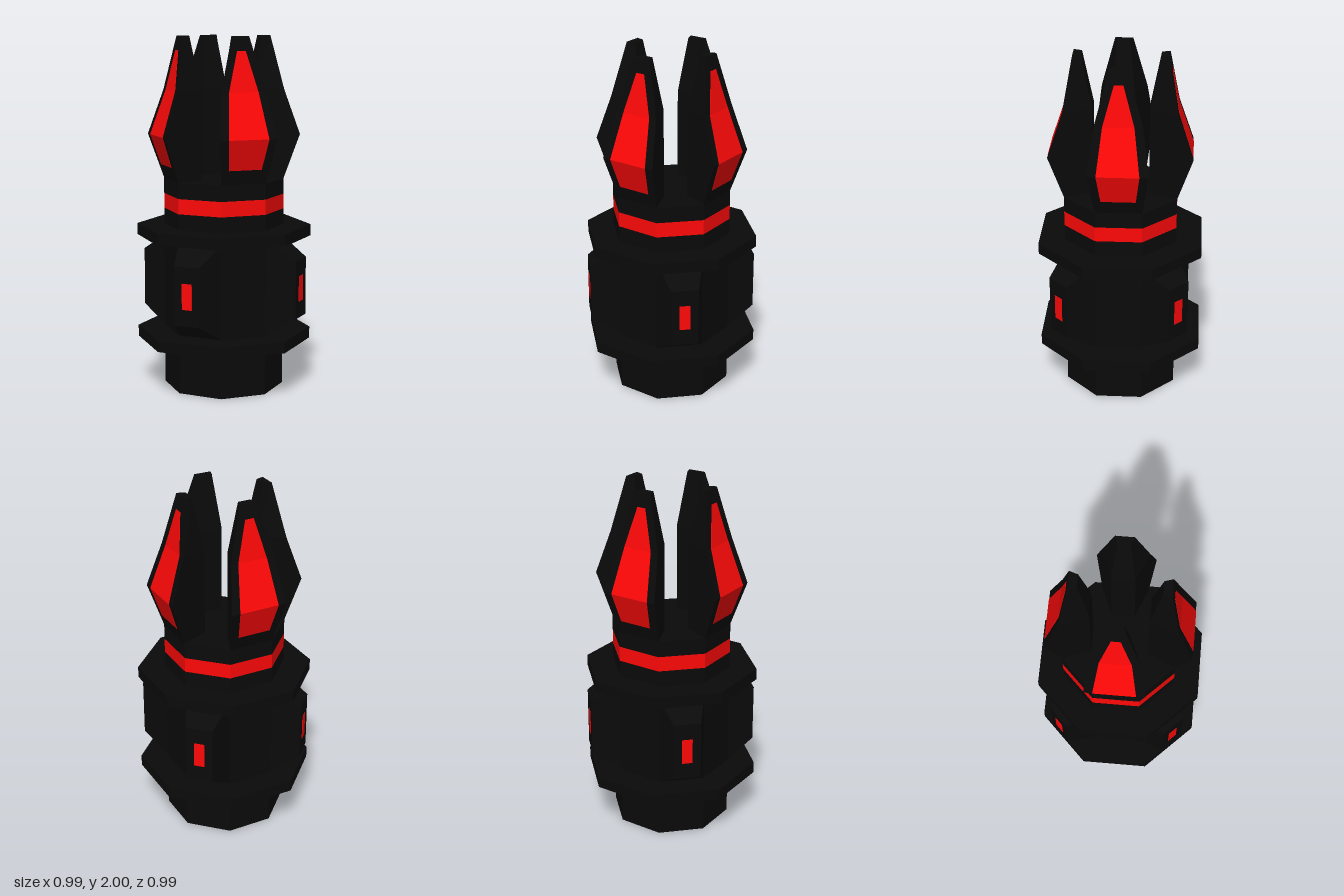
import * as THREE from 'three';

const black = new THREE.MeshStandardMaterial({ color: 0x0a0a0a, flatShading: true });
const red = new THREE.MeshStandardMaterial({ color: 0xff0808, flatShading: true });
const EIGHTH = Math.PI / 8;
const COS = Math.cos(EIGHTH), SIN = Math.sin(EIGHTH);

// Solid facing +z, lofted through sections [y, inner z, inner half width, outer z, outer half width]
function loft(sections) {
  const positions = [], index = [];
  for (const [y, zi, wi, zo, wo] of sections) {
    positions.push(-wo, y, zo, wo, y, zo, wi, y, zi, -wi, y, zi);
  }
  const last = (sections.length - 1) * 4;
  for (let s = 0; s < last; s += 4) {
    for (let i = 0; i < 4; i++) {
      const a = s + i, b = s + (i + 1) % 4;
      index.push(a, b, b + 4, a, b + 4, a + 4);
    }
  }
  index.push(0, 3, 2, 0, 2, 1);
  index.push(last, last + 1, last + 2, last, last + 2, last + 3);
  const indexed = new THREE.BufferGeometry();
  indexed.setAttribute('position', new THREE.Float32BufferAttribute(positions, 3));
  indexed.setIndex(index);
  const geometry = indexed.toNonIndexed();
  geometry.computeVertexNormals();
  return geometry;
}

// Section of an octagon wedge between two inner and outer corner radii
const wedge = (y, inner, outer) => [y, inner * COS, inner * SIN, outer * COS, outer * SIN];

export function createModel() {
  const model = new THREE.Group();
  model.name = 'clawedHandle';

  const add = (parent, name, geometry, material) => {
    const mesh = new THREE.Mesh(geometry, material);
    mesh.name = name;
    parent.add(mesh);
    return mesh;
  };

  // Octagonal prism between two heights
  const octagon = (name, y0, y1, radius, material = black) => {
    const geometry = new THREE.CylinderGeometry(radius, radius, y1 - y0, 8);
    add(model, name, geometry, material).position.y = (y0 + y1) / 2;
  };

  // Column with a glowing band, and two flanges
  octagon('column', 0, 1.025, 0.34);
  octagon('glowBand', 1.025, 1.11, 0.34, red);
  octagon('columnTop', 1.11, 1.2, 0.34);
  octagon('lowerFlange', 0.27, 0.335, 0.495);
  octagon('upperFlange', 0.87, 0.935, 0.495);

  // Claw with its inlaid panel
  const clawGeometry = loft([
    wedge(1.2, 0.17, 0.34),
    wedge(1.45, 0.17, 0.43),
    wedge(1.7, 0.17, 0.34),
    [2, 0.215, 0.035, 0.261, 0.05],
  ]);
  const panelGeometry = loft([
    [1.28, 0.341, 0.095],
    [1.45, 0.397, 0.116],
    [1.7, 0.314, 0.085],
    [1.92, 0.275, 0.025],
  ].map(([y, z, w]) => [y, z - 0.01, w, z + 0.002, w]));

  // Block tapering outward on all sides from a full column face, with a small light
  const blockGeometry = loft([
    [0.31, -0.267, 0.13, 0.267, 0.13],
    [0.475, -0.165, 0.076, 0.165, 0.076],
  ]).rotateX(Math.PI / 2);
  const lightGeometry = new THREE.BoxGeometry(0.06, 0.145, 0.02);

  // Four claws and four blocks around the axis
  for (let i = 0; i < 4; i++) {
    const claw = new THREE.Group();
    claw.name = 'claw';
    claw.rotation.y = EIGHTH + i * Math.PI / 2;
    add(claw, 'clawBody', clawGeometry, black);
    add(claw, 'clawPanel', panelGeometry, red);

    const block = new THREE.Group();
    block.name = 'sideBlock';
    block.position.y = 0.6025;
    block.rotation.y = -EIGHTH + i * Math.PI / 2;
    add(block, 'blockBody', blockGeometry, black);
    add(block, 'blockLight', lightGeometry, red).position.z = 0.467;

    model.add(claw, block);
  }
  return model;
}
